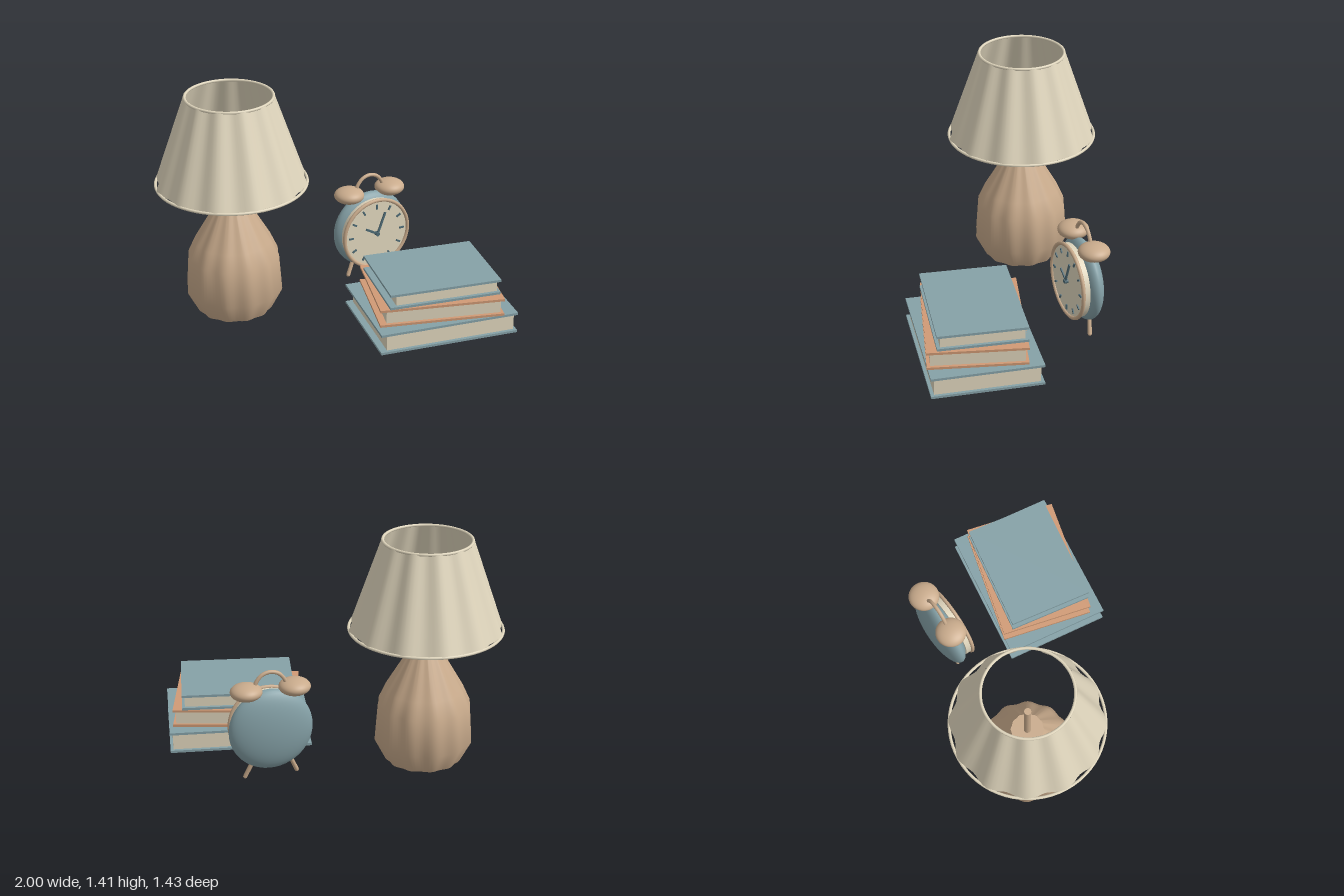
import * as THREE from 'three';
import { mergeVertices, toCreasedNormals } from 'three/addons/utils/BufferGeometryUtils.js';

const material = (name, color, side = THREE.FrontSide) => {
  const m = new THREE.MeshStandardMaterial({ color, side });
  m.name = name;
  return m;
};

export function createModel() {
  const cream = material('cream', 0xe0d6bd, THREE.DoubleSide);
  const tan = material('tan', 0xc9ab8c);
  const blue = material('dusty blue', 0x85a1a7);
  const orange = material('terracotta', 0xd09a75);
  const slate = material('slate', 0x4e6a74);

  const model = new THREE.Group();
  const add = (parent, name, geometry, mat, x = 0, y = 0, z = 0) => {
    const mesh = new THREE.Mesh(geometry, mat);
    mesh.name = name;
    mesh.position.set(x, y, z);
    parent.add(mesh);
    return mesh;
  };
  const group = (name, x, y, z) => {
    const g = new THREE.Group();
    g.name = name;
    g.position.set(x, y, z);
    model.add(g);
    return g;
  };

  // Turned shape whose radius ripples in twelve flutes
  const fluted = (profile, depth) => {
    const points = profile.map(([r, y]) => new THREE.Vector2(r, y));
    let geo = new THREE.LatheGeometry(points, 96);
    const p = geo.attributes.position;
    for (let i = 0; i < p.count; i++) {
      const angle = Math.atan2(p.getX(i), p.getZ(i));
      const k = 1 - depth * (0.5 - 0.5 * Math.cos(12 * angle));
      p.setXYZ(i, p.getX(i) * k, p.getY(i), p.getZ(i) * k);
    }
    geo.deleteAttribute('uv');
    geo.deleteAttribute('normal');
    geo = mergeVertices(geo, 1e-5);
    geo.computeVertexNormals();
    return geo;
  };

  // Lamp
  const lamp = group('lamp', -0.53, 0, -0.25);
  const baseProfile = [[0, 0], [0.235, 0], [0.302, 0.13], [0.285, 0.36], [0.24, 0.46], [0.1, 0.7], [0, 0.7]];
  add(lamp, 'lampBase', toCreasedNormals(fluted(baseProfile, 0.045), 0.9), tan);
  add(lamp, 'lampStem', new THREE.CylinderGeometry(0.021, 0.021, 0.37, 16), tan, 0, 0.875, 0);
  add(lamp, 'lampShade', fluted([[0.468, 0.848], [0.274, 1.405]], 0.065), cream);
  for (const [name, r, y] of [['shadeTopRim', 0.264, 1.403], ['shadeBottomRim', 0.46, 0.85]]) {
    add(lamp, name, new THREE.TorusGeometry(r, 0.009, 8, 64), cream, 0, y, 0).rotation.x = Math.PI / 2;
  }

  // Books, from the bottom up
  const books = [
    { y0: 0, y1: 0.135, w: 0.878, d: 0.664, turn: -0.055, cover: blue },
    { y0: 0.136, y1: 0.25, w: 0.766, d: 0.587, turn: -0.178, cover: orange },
    { y0: 0.251, y1: 0.35, w: 0.7, d: 0.532, turn: -0.084, cover: blue },
  ];
  const board = 0.015;
  books.forEach(({ y0, y1, w, d, turn, cover }, i) => {
    const book = group('book' + (i + 1), 0.54, 0, 0.353);
    book.rotation.y = turn;
    const boardGeo = new THREE.BoxGeometry(w, board, d);
    add(book, 'lowerCover', boardGeo, cover, 0, y0 + board / 2, 0);
    add(book, 'upperCover', boardGeo, cover, 0, y1 - board / 2, 0);
    add(book, 'pages', new THREE.BoxGeometry(w - 0.06, y1 - y0 - 2 * board, d - 0.04), cream, 0.012, (y0 + y1) / 2, 0);
  });

  // Alarm clock, with its origin at the centre of the dial
  const clock = group('alarmClock', 0.435, 0.315, -0.262);
  clock.rotation.y = 0.117;
  const ball = new THREE.SphereGeometry(1, 48, 24);
  add(clock, 'clockBody', ball, blue, 0, 0, -0.092).scale.set(0.257, 0.257, 0.085);
  add(clock, 'dial', new THREE.CylinderGeometry(0.228, 0.228, 0.045, 48), cream, 0, 0, -0.0225).rotation.x = Math.PI / 2;
  add(clock, 'dialRing', new THREE.TorusGeometry(0.23, 0.012, 10, 64), tan);

  // Hour marks
  for (let i = 0; i < 12; i++) {
    const a = (i * Math.PI) / 6;
    const mark = add(clock, 'hourMark', new THREE.BoxGeometry(0.011, 0.032, 0.008), slate, Math.sin(a) * 0.185, Math.cos(a) * 0.185, 0.003);
    mark.rotation.z = -a;
  }
  // Hands
  for (const [name, length, angle, z] of [['minuteHand', 0.165, -0.36, 0.016], ['hourHand', 0.105, 1.05, 0.01]]) {
    const geo = new THREE.BoxGeometry(0.014, length, 0.008).translate(0, length / 2 - 0.012, 0);
    add(clock, name, geo, slate, 0, 0, z).rotation.z = angle;
  }
  add(clock, 'handPin', new THREE.CylinderGeometry(0.014, 0.014, 0.026, 16), slate, 0, 0, 0.011).rotation.x = Math.PI / 2;

  // Straight round rod between two points
  const rod = (name, from, to, r) => {
    const path = new THREE.LineCurve3(new THREE.Vector3(...from), new THREE.Vector3(...to));
    const mesh = add(clock, name, new THREE.TubeGeometry(path, 1, r, 12), tan);
    add(mesh, name + 'End', new THREE.SphereGeometry(r, 12, 8), tan, ...to);
  };
  // Bells and legs
  for (const s of [-1, 1]) {
    add(clock, 'bell', ball, tan, s * 0.147, 0.26, -0.098).scale.set(0.096, 0.05, 0.096);
    rod('bellPost', [s * 0.1, 0.17, -0.095], [s * 0.143, 0.25, -0.098], 0.014);
    rod('leg', [s * 0.115, -0.2, -0.095], [s * 0.16, -0.302, -0.08], 0.013);
  }

  // Carrying handle
  const handle = [[-0.1, 0.27], [-0.085, 0.315], [-0.05, 0.355], [0, 0.37], [0.05, 0.355], [0.085, 0.315], [0.1, 0.27]];
  const arch = new THREE.CatmullRomCurve3(handle.map(([x, y]) => new THREE.Vector3(x, y, -0.098)));
  add(clock, 'handle', new THREE.TubeGeometry(arch, 32, 0.012, 10), tan);

  return model;
}
